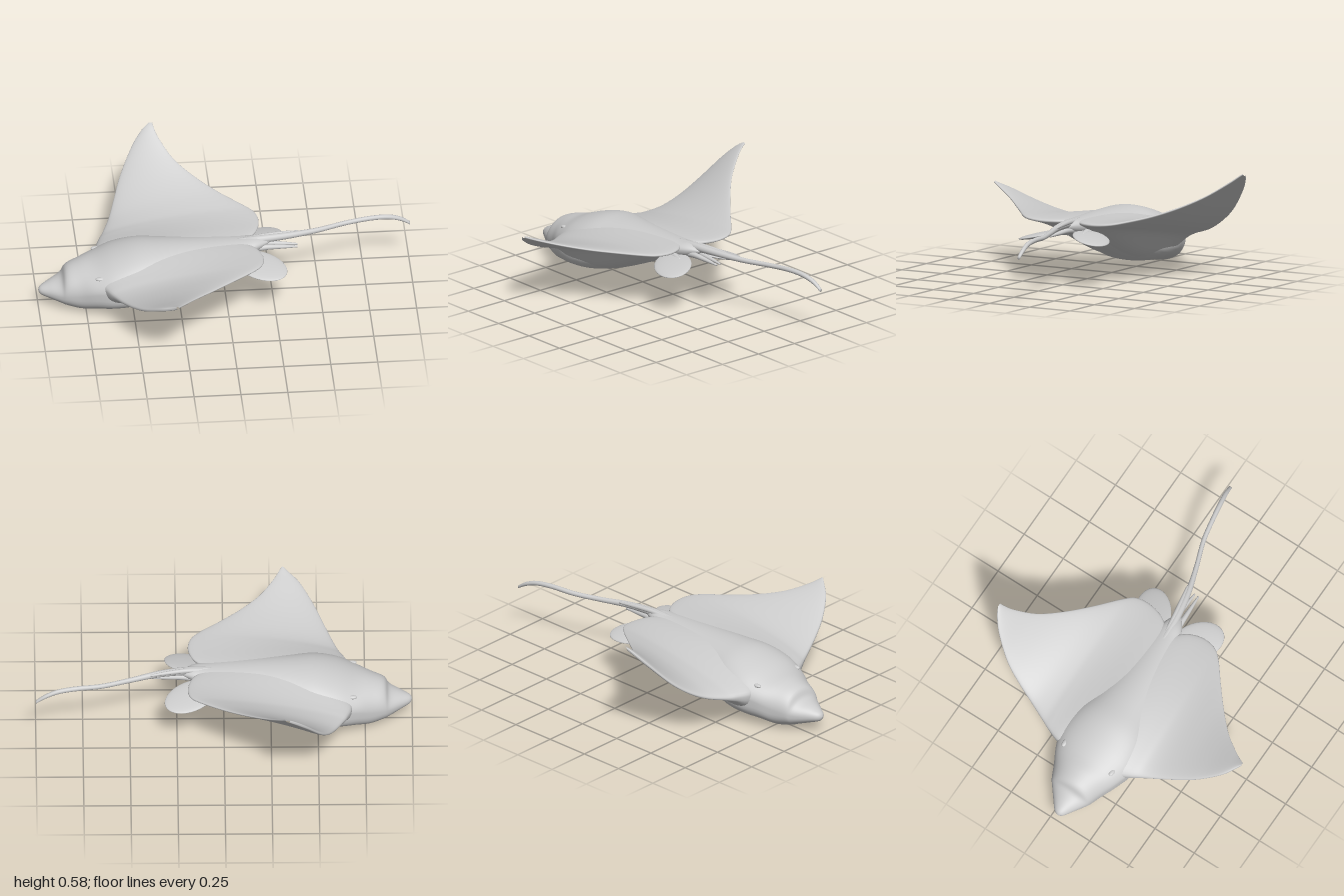
import * as THREE from 'three';

const material = new THREE.MeshStandardMaterial({ color: 0xcccccc, roughness: 0.8 });
const MID = 0.03; // z of the body's centre line

// Smooth Catmull-Rom resampling of every column of a table
function resample(rows, steps) {
  const out = [];
  const last = rows.length - 1;
  const row = (i) => rows[Math.max(0, Math.min(last, i))];
  for (let k = 0; k <= last * steps; k++) {
    const i = Math.min(last - 1, Math.floor(k / steps));
    const t = k / steps - i;
    const [a, b, c, d] = [row(i - 1), row(i), row(i + 1), row(i + 2)];
    out.push(b.map((p, j) => p + 0.5 * t * (c[j] - a[j]
      + t * (2 * a[j] - 5 * p + 4 * c[j] - d[j] + t * (3 * (p - c[j]) + d[j] - a[j])))));
  }
  return out;
}

// Skin closed cross-sections; point(row, angle) gives [x, y, z]
function loft(name, rows, sides, point) {
  const pos = [], index = [];
  rows.forEach((r) => {
    for (let j = 0; j < sides; j++) pos.push(...point(r, (j / sides) * Math.PI * 2));
  });
  for (let i = 0; i < rows.length - 1; i++) {
    for (let j = 0; j < sides; j++) {
      const k = (j + 1) % sides;
      const a = i * sides + j, b = a + sides, c = i * sides + k, d = c + sides;
      index.push(a, b, c, b, d, c);
    }
  }
  const g = new THREE.BufferGeometry();
  g.setAttribute('position', new THREE.Float32BufferAttribute(pos, 3));
  g.setIndex(index);
  g.computeVertexNormals();
  return named(name, g);
}

function named(name, geometry) {
  const m = new THREE.Mesh(geometry, material);
  m.name = name;
  return m;
}

// Tapered round limb through [x, y, z, radius] stations
function limb(name, stations) {
  const ends = [stations[0], stations[stations.length - 1]].map((s) => [s[0], s[1], s[2], 0]);
  const rows = [ends[0], ...resample(stations, 6), ends[1]];
  return loft(name, rows, 14, ([x, y, z, r], t) => [x, y + r * Math.sin(t), z + r * Math.cos(t)]);
}

function ellipsoid(name, [x, y, z], [a, b, c]) {
  const m = named(name, new THREE.SphereGeometry(1, 32, 20));
  m.position.set(x, y, z);
  m.scale.set(a, b, c);
  return m;
}

export function createModel() {
  const ray = new THREE.Group();
  ray.name = 'ray';

  // Head and trunk: x, half width, level of widest line, top, bottom, centre z, belly roundness
  const body = resample([
    [-1.0, 0.0, 0.098, 0.098, 0.098, 0.045, 1],
    [-0.988, 0.026, 0.098, 0.12, 0.075, 0.044, 1],
    [-0.94, 0.062, 0.1, 0.145, 0.055, 0.04, 0.9],
    [-0.88, 0.105, 0.105, 0.172, 0.033, 0.035, 0.8],
    [-0.85, 0.125, 0.115, 0.222, 0.02, 0.033, 0.8],
    [-0.78, 0.155, 0.13, 0.25, 0.004, MID, 0.7],
    [-0.7, 0.195, 0.16, 0.27, 0.014, MID, 0.65],
    [-0.6, 0.228, 0.18, 0.308, 0.028, MID, 0.55],
    [-0.48, 0.222, 0.2, 0.338, 0.037, MID, 0.55],
    [-0.35, 0.18, 0.23, 0.343, 0.07, MID, 0.65],
    [-0.2, 0.14, 0.26, 0.343, 0.13, 0.028, 0.8],
    [-0.05, 0.11, 0.285, 0.341, 0.195, 0.022, 0.9],
    [0.08, 0.08, 0.3, 0.34, 0.24, 0.015, 1],
    [0.17, 0.05, 0.31, 0.34, 0.27, 0.01, 1],
    [0.25, 0.0, 0.312, 0.312, 0.312, 0.0, 1],
  ], 5);
  ray.add(loft('body', body, 56, ([x, w, mid, top, low, z, round], t) => {
    const s = Math.sin(t);
    const y = s > 0 ? mid + s * (top - mid) : mid - Math.pow(-s, round) * (mid - low);
    return [x, y, z + w * Math.cos(t)];
  }));

  // Wings in one span: z, leading x, trailing x, leading y, trailing y, half thickness
  const wings = resample([
    [-0.772, -0.345, -0.322, 0.578, 0.583, 0.008],
    [-0.75, -0.385, -0.317, 0.545, 0.57, 0.014],
    [-0.7, -0.44, -0.295, 0.48, 0.533, 0.018],
    [-0.6, -0.51, -0.225, 0.365, 0.463, 0.02],
    [-0.5, -0.552, -0.12, 0.285, 0.408, 0.023],
    [-0.4, -0.588, 0.0, 0.232, 0.368, 0.027],
    [-0.3, -0.63, 0.125, 0.205, 0.343, 0.031],
    [-0.24, -0.657, 0.18, 0.198, 0.333, 0.034],
    [-0.16, -0.68, 0.193, 0.19, 0.326, 0.038],
    [-0.07, -0.66, 0.17, 0.185, 0.324, 0.04],
    [0.02, -0.65, 0.11, 0.185, 0.322, 0.04],
    [0.1, -0.66, 0.165, 0.185, 0.324, 0.04],
    [0.18, -0.68, 0.19, 0.19, 0.326, 0.038],
    [0.26, -0.645, 0.178, 0.198, 0.33, 0.034],
    [0.32, -0.612, 0.13, 0.203, 0.333, 0.03],
    [0.4, -0.575, 0.03, 0.222, 0.336, 0.026],
    [0.5, -0.53, -0.09, 0.257, 0.344, 0.023],
    [0.6, -0.48, -0.195, 0.303, 0.363, 0.02],
    [0.7, -0.41, -0.27, 0.365, 0.393, 0.016],
    [0.75, -0.35, -0.3, 0.4, 0.412, 0.013],
    [0.768, -0.325, -0.31, 0.418, 0.42, 0.008],
  ], 5);
  ray.add(loft('wings', wings, 56, ([z, x0, x1, y0, y1, h], t) => {
    const u = (1 - Math.cos(t)) / 2;
    const s = Math.sin(t);
    const rise = 1 - Math.pow(1 - u, 1.35);
    const d = Math.abs(z - MID);
    // Fillet into the back above and swell into the belly below
    const back = 0.095 * Math.pow(1 - u, 1.5) * Math.exp(-Math.pow(d / 0.2, 2));
    const belly = 0.2 * Math.pow(1 - u, 0.8) * Math.exp(-Math.pow(d / (0.27 - 0.11 * u), 5));
    const skin = h * (1 - 0.45 * u) * Math.sign(s) * Math.pow(Math.abs(s), 0.65);
    const swell = s * (s > 0 ? back : belly);
    return [x0 + (x1 - x0) * u, y0 + (y1 - y0) * rise + skin + swell, z];
  }));

  // Tail with a low dorsal fin at its base
  ray.add(limb('tail', [
    [0.06, 0.318, 0.01, 0.022], [0.2, 0.325, 0.0, 0.022], [0.35, 0.324, -0.025, 0.018],
    [0.5, 0.318, -0.07, 0.014], [0.65, 0.32, -0.122, 0.013], [0.78, 0.325, -0.148, 0.013],
    [0.88, 0.318, -0.165, 0.013], [0.95, 0.295, -0.177, 0.012], [1.0, 0.263, -0.182, 0.009],
  ]));
  ray.add(limb('dorsalFin', [
    [0.1, 0.328, 0.0, 0.012], [0.2, 0.335, -0.012, 0.013],
    [0.3, 0.335, -0.03, 0.011], [0.39, 0.331, -0.048, 0.006],
  ]));

  // Paired parts
  for (const side of [1, -1]) {
    const label = side > 0 ? 'left' : 'right';
    const at = (z) => 0.01 + side * z;

    const fin = ellipsoid(label + 'PelvicFin', [0.18, 0.255, at(0.143)], [0.15, 0.015, 0.1]);
    fin.rotation.set(side * 0.2, -side * 0.6, 0);
    ray.add(fin);
    ray.add(limb(label + 'FinRoot', [
      [-0.04, 0.25, at(0.05), 0.03], [0.08, 0.266, at(0.065), 0.025], [0.18, 0.27, at(0.09), 0.01],
    ]));
    ray.add(limb(label + 'Clasper', [
      [0.06, 0.27, at(0.022), 0.02], [0.2, 0.29, at(0.02), 0.016],
      [0.3, 0.287, at(0.016), 0.011], [0.385, 0.281, at(0.012), 0.005],
    ]));
    ray.add(ellipsoid(label + 'Eye', [-0.68, 0.236, MID + side * 0.15], [0.026, 0.01, 0.014]));
  }
  return ray;
}
